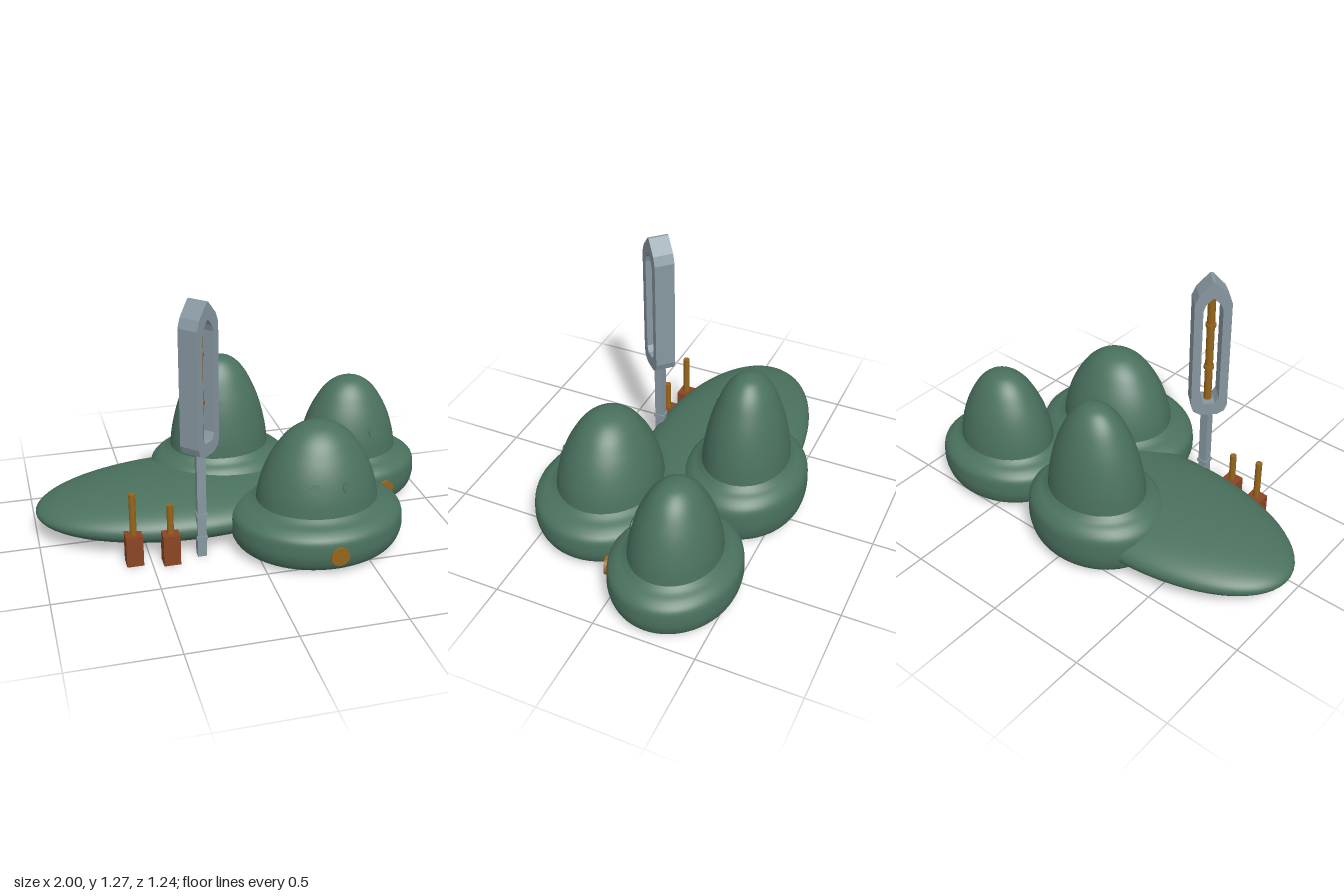
import * as THREE from 'three';

const mat = (name, color, flat = false) => {
  const m = new THREE.MeshStandardMaterial({ color, flatShading: flat });
  m.name = name;
  return m;
};

export function createModel() {
  const green = mat('mossGreen', 0x4a715e);
  const grey = mat('steelGrey', 0x8797a0, true);
  const amber = mat('amberBrown', 0x96651c);
  const rust = mat('rustBrown', 0x8c4524, true);
  const root = new THREE.Group();
  root.name = 'moundsAndMarker';

  const add = (parent, name, geo, material, x = 0, y = 0, z = 0) => {
    const m = new THREE.Mesh(geo, material);
    m.name = name;
    m.position.set(x, y, z);
    parent.add(m);
    return m;
  };
  const box = (w, h, d) => new THREE.BoxGeometry(w, h, d);
  const rod = (r, h, n = 20) => new THREE.CylinderGeometry(r, r, h, n);
  // Smooth lathe through a few profile points
  const lathe = (pts, n) => new THREE.LatheGeometry(
    new THREE.SplineCurve(pts.map(p => new THREE.Vector2(...p))).getPoints(n), 64);

  // Long low body
  const body = add(root, 'lowBody', new THREE.SphereGeometry(1, 64, 40), green, -0.25, 0.129, -0.115);
  body.scale.set(0.75, 0.129, 0.385);

  // Mounds: a domed crown on a bulging skirt
  const skirtGeo = lathe([[0.28, 0], [0.345, 0.01], [0.395, 0.04], [0.418, 0.09], [0.42, 0.14],
    [0.41, 0.185], [0.37, 0.215], [0.325, 0.232], [0.295, 0.25]], 32);
  const crownGeo = lathe([[0.295, 0.25], [0.285, 0.31], [0.268, 0.37], [0.242, 0.435], [0.205, 0.5],
    [0.15, 0.57], [0.08, 0.617], [0, 0.632]], 32);
  const baseGeo = new THREE.CircleGeometry(0.281, 64).rotateX(Math.PI / 2);
  const disc = (parent, name, material, r, h, x, y, z, turn, tilt) => {
    const m = add(parent, name, rod(r, h, 28).rotateX(Math.PI / 2), material, x, y, z);
    m.rotation.set(-tilt, turn, 0, 'YXZ');
  };
  const mounds = [
    { name: 'frontMound', p: [0.312, 0.25], s: [1, 1, 0.86], eyes: [-0.077, 0.077], eyeY: 0.385, eyeR: 0.262 },
    { name: 'leftMound', p: [0.637, -0.245], s: [0.855, 1, 0.728], eyes: [-0.07, 0.075], eyeY: 0.385, eyeR: 0.262 },
    { name: 'backMound', p: [-0.035, -0.318], s: [0.85, 1.243, 0.718], eyes: [-0.042], eyeY: 0.575, eyeR: 0.23 },
  ];
  for (const { name, p, s, eyes, eyeY, eyeR } of mounds) {
    const g = new THREE.Group();
    g.name = name;
    g.position.set(p[0], 0, p[1]);
    root.add(g);
    for (const [part, geo] of [['skirt', skirtGeo], ['crown', crownGeo], ['base', baseGeo]])
      add(g, part, geo, green).scale.set(...s);
    // Eyes lie on the crown surface
    for (const x of eyes) {
      const k = x / (eyeR * s[0]);
      const z = eyeR * s[2] * Math.sqrt(1 - k * k);
      disc(g, 'eye', green, 0.026, 0.009, x, eyeY, z, Math.atan2(x / s[0] ** 2, z / s[2] ** 2), 0.3);
    }
  }
  // Round badges on the two front skirts
  disc(root, 'frontBadge', amber, 0.045, 0.03, 0.312, 0.113, 0.606, 0, 0);
  disc(root, 'leftBadge', amber, 0.045, 0.03, 0.745, 0.113, 0.046, 0.28, 0);

  // Short posts: square block with a peg
  for (const [x, z, top] of [[-0.58, 0.247, 0.365], [-0.41, 0.28, 0.305]]) {
    add(root, 'postBlock', box(0.08, 0.155, 0.075), rust, x, 0.0775, z);
    add(root, 'postPeg', rod(0.016, top - 0.15), amber, x, (top + 0.15) / 2, z);
  }

  // Tall marker: post, banded, carrying a pointed open frame
  const marker = new THREE.Group();
  marker.name = 'marker';
  marker.position.set(-0.257, 0, 0.251);
  root.add(marker);
  add(marker, 'markerPost', box(0.043, 0.55, 0.043), grey, 0, 0.275, 0);
  for (const y of [0.1, 0.22]) add(marker, 'postBand', box(0.053, 0.016, 0.053), grey, 0, y, 0);

  const head = new THREE.Group();
  head.name = 'markerHead';
  head.rotation.y = Math.PI / 4;
  marker.add(head);
  // Mirror a half outline into a closed loop
  const loop = half => [...half, ...half.slice().reverse().map(([x, y]) => [-x, y])]
    .map(p => new THREE.Vector2(...p));
  const shape = new THREE.Shape(loop([[0.04, 0.54], [0.075, 0.56], [0.087, 0.595],
    [0.087, 1.16], [0.068, 1.205], [0.006, 1.273]]));
  shape.holes.push(new THREE.Path(loop([[0.028, 0.605], [0.046, 0.635], [0.046, 1.125],
    [0.036, 1.155], [0.004, 1.19]])));
  const frameGeo = new THREE.ExtrudeGeometry(shape, { depth: 0.1, bevelEnabled: false });
  add(head, 'markerFrame', frameGeo.translate(0, 0, -0.05), grey);
  add(head, 'frameRod', rod(0.019, 0.59), amber, 0, 0.895, 0);
  for (const y of [0.79, 1.023]) add(head, 'rodCollar', rod(0.025, 0.017), amber, 0, y, 0);

  return root;
}
